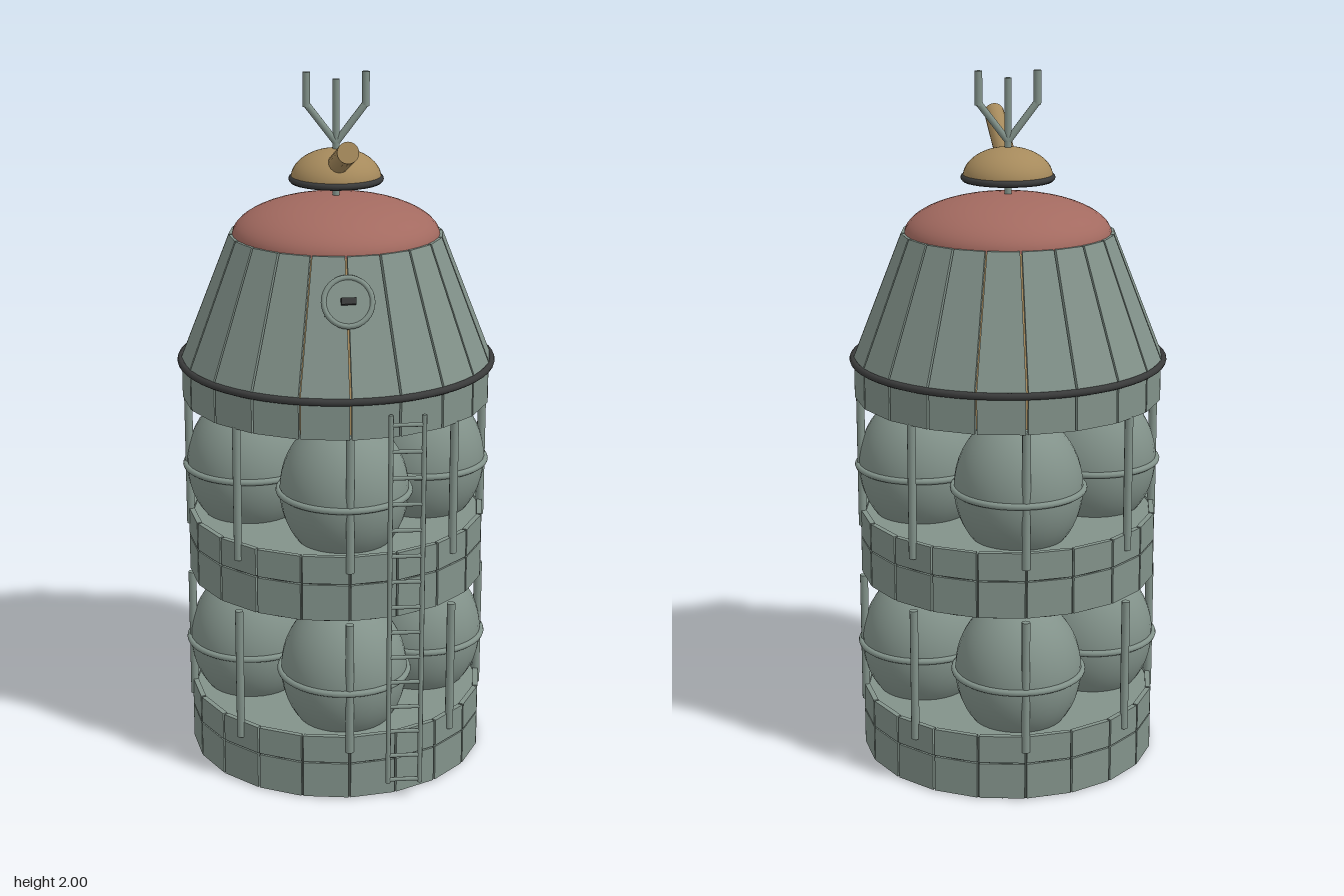
import * as THREE from 'three';
import { mergeGeometries } from 'three/addons/utils/BufferGeometryUtils.js';

const paint = (name, color, extra = {}) => {
  const m = new THREE.MeshStandardMaterial({ color, ...extra });
  m.name = name;
  return m;
};

export function createModel() {
  const green = paint('grey green', 0x82928a);
  const red = paint('dull red', 0xa36a60);
  const tan = paint('tan', 0xa68a5c);
  const dark = paint('charcoal', 0x3a3b3b);
  const seam = paint('dark seam', 0x454d48);
  const SIDES = 20;
  const root = new THREE.Group();
  root.name = 'tankTower';

  const add = (name, geometry, material, parent = root, x = 0, y = 0, z = 0) => {
    const mesh = new THREE.Mesh(geometry, material);
    mesh.name = name;
    mesh.position.set(x, y, z);
    parent.add(mesh);
    return mesh;
  };
  const group = (name, parent = root) => {
    const g = new THREE.Group();
    g.name = name;
    parent.add(g);
    return g;
  };

  // Round bar between two points
  const bar = (name, a, b, r, material, parent = root, sides = 10) => {
    const from = new THREE.Vector3(...a), to = new THREE.Vector3(...b);
    const dir = to.clone().sub(from);
    const mesh = add(name, new THREE.CylinderGeometry(r, r, dir.length(), sides), material, parent);
    mesh.position.copy(from).add(to).multiplyScalar(0.5);
    mesh.quaternion.setFromUnitVectors(new THREE.Vector3(0, 1, 0), dir.normalize());
    return mesh;
  };

  // Ring of flat plates with narrow gaps, between two heights and radii
  const plates = (y0, r0, y1, r1, thick = 0.015, gap = 0.003) => {
    const list = [];
    for (let i = 0; i < SIDES; i++) {
      const mid = (i + 0.5) * Math.PI * 2 / SIDES;
      const g = new THREE.BoxGeometry(1, 1, 1);
      const p = g.attributes.position;
      for (let k = 0; k < p.count; k++) {
        const up = p.getY(k) > 0;
        const full = up ? r1 : r0;
        const r = full - (p.getZ(k) > 0 ? 0 : thick);
        const a = mid + Math.sign(p.getX(k)) * (Math.PI / SIDES - gap / full);
        p.setXYZ(k, r * Math.sin(a), up ? y1 : y0, r * Math.cos(a));
      }
      g.computeVertexNormals();
      list.push(g);
    }
    return mergeGeometries(list);
  };

  const torus = (R, r, seg = 48) => new THREE.TorusGeometry(R, r, 10, seg).rotateX(Math.PI / 2);

  // Two decks, each with four tanks and eight posts
  for (const base of [0, 0.545]) {
    const deck = group(base ? 'upperTankDeck' : 'lowerTankDeck');
    deck.position.y = base;
    add('deckDrum', new THREE.CylinderGeometry(0.42, 0.42, 0.185, 40), [seam, green, green], deck, 0, 0.0975);
    add('deckLowerPlates', plates(0.008, 0.43, 0.113, 0.43), green, deck);
    add('deckUpperPlates', plates(0.117, 0.43, 0.197, 0.43), green, deck);
    for (let i = 0; i < 4; i++) {
      const a = i * Math.PI / 2;
      const x = 0.252 * Math.sin(a), z = 0.252 * Math.cos(a);
      const tank = add('tank', new THREE.SphereGeometry(0.181, 32, 24), green, deck, x, 0.333, z);
      tank.scale.y = 1.16;
      add('tankBand', torus(0.183, 0.009), green, deck, x, 0.333, z);
    }
    for (let i = 0; i < 8; i++) {
      const a = i * Math.PI / 4;
      const x = 0.425 * Math.sin(a), z = 0.425 * Math.cos(a);
      bar('post', [x, 0.15, z], [x, 0.54, z], 0.012, green, deck);
    }
  }

  // Capsule: tan inner shell under green plates
  const capsule = group('capsule');
  const shell = [[0, 1.092], [0.425, 1.092], [0.428, 1.19], [0.29, 1.545], [0, 1.545]]
    .map(([x, y]) => new THREE.Vector2(x, y));
  const shellGeo = new THREE.LatheGeometry(shell, SIDES).toNonIndexed();
  shellGeo.computeVertexNormals();
  add('innerShell', shellGeo, tan, capsule);
  add('skirtPlates', plates(1.082, 0.44, 1.19, 0.44), green, capsule);
  add('conePlates', plates(1.19, 0.445, 1.552, 0.302), green, capsule);
  add('rimBand', torus(0.443, 0.01, 60), dark, capsule, 0, 1.19);
  const dome = add('redDome',
    new THREE.SphereGeometry(0.293, 40, 16, 0, Math.PI * 2, 0, Math.PI / 2), red, capsule, 0, 1.545);
  dome.scale.y = 0.385;

  // Round hatch on the sloping front
  const hatch = group('hatch', capsule);
  hatch.position.set(0, 1.44, 0.35);
  hatch.rotation.x = -0.376;
  add('hatchSeat', new THREE.CylinderGeometry(0.072, 0.072, 0.02, 6).rotateX(Math.PI / 2), dark, hatch, 0, 0, -0.01);
  add('hatchCover', new THREE.CylinderGeometry(0.06, 0.06, 0.02, 28).rotateX(Math.PI / 2), green, hatch);
  add('hatchRing', new THREE.TorusGeometry(0.065, 0.008, 8, 32), green, hatch, 0, 0, 0.006);
  add('hatchHandle', new THREE.BoxGeometry(0.04, 0.018, 0.025), dark, hatch, 0, 0, 0.022);

  // Turret with its tube
  const turret = group('turret');
  const cap = add('turretDome',
    new THREE.SphereGeometry(0.127, 32, 14, 0, Math.PI * 2, 0, Math.PI / 2), tan, turret, 0, 1.705);
  cap.scale.y = 0.66;
  add('turretBase', new THREE.CylinderGeometry(0.127, 0.127, 0.01, 32), dark, turret, 0, 1.7);
  add('turretRim', torus(0.124, 0.009), dark, turret, 0, 1.705);
  bar('turretTube', [0, 1.75, 0.04], [0, 1.84, 0.348], 0.029, tan, turret, 20);

  // Three-pronged mast
  const mast = group('mast');
  bar('mastRod', [0, 1.62, 0], [0, 1.98, 0], 0.01, green, mast);
  for (const s of [-1, 1]) {
    bar('mastArm', [0, 1.805, 0], [s * 0.082, 1.912, 0], 0.01, green, mast);
    bar('mastProng', [s * 0.082, 1.905, 0], [s * 0.082, 2, 0], 0.011, green, mast);
  }

  // Ladder up the front
  const ladder = group('ladder');
  for (const x of [0.108, 0.198]) bar('ladderRail', [x, 0.055, 0.44], [x, 1.15, 0.44], 0.007, green, ladder, 8);
  for (let i = 0; i < 15; i++) {
    const y = 0.065 + i * 0.0755;
    bar('ladderRung', [0.108, y, 0.44], [0.198, y, 0.44], 0.006, green, ladder, 8);
  }

  return root;
}
